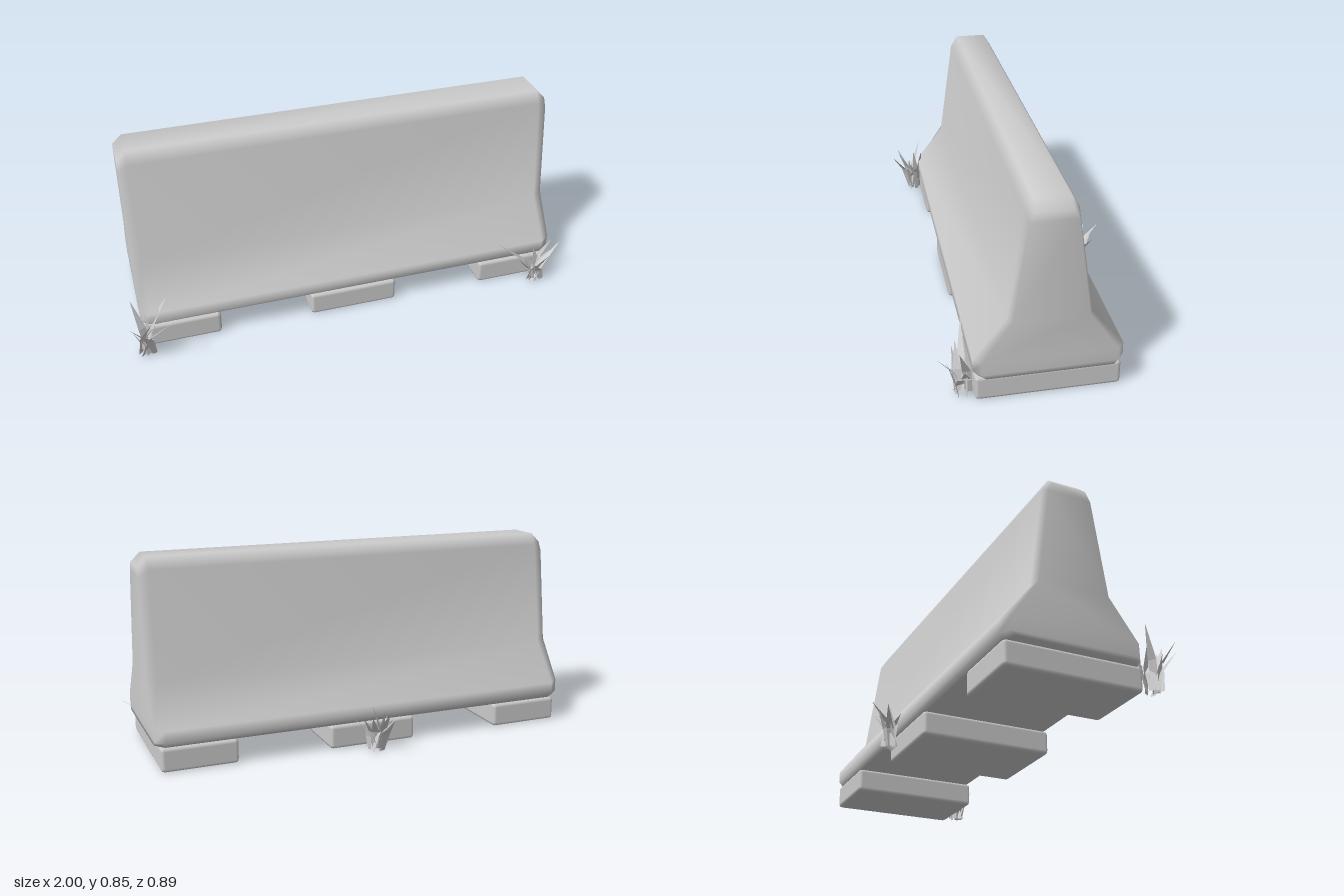
import * as THREE from 'three';
import { RoundedBoxGeometry } from 'three/addons/geometries/RoundedBoxGeometry.js';

// Half profiles as [half depth, height], listed from the bottom up
const FULL = [[0.275, 0.105], [0.297, 0.127], [0.297, 0.18], [0.166, 0.347], [0.1, 0.8], [0.07, 0.85]];
const END = [[0.25, 0.112], [0.268, 0.13], [0.268, 0.185], [0.148, 0.357], [0.093, 0.77], [0.072, 0.81]];

function addQuad(index, a, b, c, d) {
  index.push(a, b, c, a, c, d);
}

// Barrier body: chamfered cross-sections joined along x, smooth shaded
function bodyGeometry() {
  const stations = [[-0.945, END], [-0.905, FULL], [0.905, FULL], [0.945, END]];
  const n = FULL.length, ring = 2 * n;
  const pos = [], index = [];
  for (const [x, half] of stations) {
    for (const [z, y] of half) pos.push(x, y, z);
    for (const [z, y] of [...half].reverse()) pos.push(x, y, -z);
  }
  for (let s = 0; s < stations.length - 1; s++) {
    for (let i = 0; i < ring; i++) {
      const j = (i + 1) % ring, p = s * ring, q = p + ring;
      addQuad(index, p + i, q + i, q + j, p + j);
    }
  }
  // End caps, one strip per profile step
  const last = (stations.length - 1) * ring;
  for (let i = 0; i < n - 1; i++) {
    const l = i, r = ring - 1 - i;
    addQuad(index, last + l, last + r, last + r - 1, last + l + 1);
    addQuad(index, l, l + 1, r - 1, r);
  }
  const g = new THREE.BufferGeometry();
  g.setAttribute('position', new THREE.Float32BufferAttribute(pos, 3));
  g.setIndex(index);
  g.computeVertexNormals();
  return g;
}

// Grass blade: narrow foot, wider middle, pointed tip that leans out
function bladeGeometry(base, tip, width, angle) {
  const side = new THREE.Vector3(Math.cos(angle), 0, Math.sin(angle));
  const mid = base.clone().lerp(tip, 0.3);
  mid.y = tip.y * 0.5;
  const at = (p, w) => p.clone().addScaledVector(side, w);
  const points = [
    at(base, -width * 0.3), at(base, width * 0.3),
    at(mid, width * 0.5), at(mid, -width * 0.5), tip,
  ];
  const g = new THREE.BufferGeometry().setFromPoints(points);
  g.setIndex([0, 1, 2, 0, 2, 3, 3, 2, 4]);
  const flat = g.toNonIndexed();
  flat.computeVertexNormals();
  return flat;
}

// Each tuft: centre of its roots, then blade tips as [x, z, height]
const TUFTS = [
  {
    name: 'frontRightGrass', centre: [-0.94, 0.33],
    tips: [[-1, 0.4, 0.2], [-0.82, 0.44, 0.235], [-0.83, 0.29, 0.25], [-0.98, 0.28, 0.26], [-0.91, 0.4, 0.21],
      [-0.93, 0.32, 0.21], [-0.99, 0.34, 0.14], [-0.88, 0.35, 0.17], [-0.96, 0.43, 0.18], [-0.89, 0.31, 0.13]],
  },
  {
    name: 'frontLeftGrass', centre: [0.86, 0.34],
    tips: [[0.67, 0.31, 0.22], [1, 0.3, 0.16], [0.92, 0.35, 0.22], [0.79, 0.35, 0.2], [0.87, 0.43, 0.17],
      [0.85, 0.32, 0.17], [0.76, 0.36, 0.15], [0.93, 0.33, 0.14], [0.83, 0.39, 0.12], [0.9, 0.39, 0.16]],
  },
  {
    name: 'backGrass', centre: [0.005, -0.35],
    tips: [[-0.08, -0.4, 0.16], [-0.01, -0.45, 0.19], [0.1, -0.305, 0.14], [0.095, -0.4, 0.17], [0.02, -0.33, 0.185],
      [-0.05, -0.33, 0.14], [0.05, -0.4, 0.16], [-0.04, -0.43, 0.15], [0.06, -0.34, 0.12], [-0.02, -0.37, 0.17]],
  },
];

export function createModel() {
  const concrete = new THREE.MeshStandardMaterial({ color: 0xcccccc });
  concrete.name = 'concreteGrey';
  const grass = new THREE.MeshStandardMaterial({ color: 0xcccccc, side: THREE.DoubleSide });
  grass.name = 'grassGrey';

  const model = new THREE.Group();
  model.name = 'roadBarrier';

  const body = new THREE.Mesh(bodyGeometry(), concrete);
  body.name = 'barrierBody';
  body.position.z = 0.003;
  model.add(body);

  // Three feet under the body
  for (const [name, x, width] of [['rightFoot', -0.765, 0.32], ['middleFoot', -0.003, 0.395], ['leftFoot', 0.763, 0.325]]) {
    const foot = new THREE.Mesh(new RoundedBoxGeometry(width, 0.106, 0.58, 1, 0.016), concrete);
    foot.name = name;
    foot.position.set(x, 0.053, 0.004);
    model.add(foot);
  }

  // Grass tufts with roots spread round their centres
  for (const { name, centre, tips } of TUFTS) {
    const tuft = new THREE.Group();
    tuft.name = name;
    tips.forEach(([x, z, h], i) => {
      const a = i * 2.4, r = 0.015 + 0.02 * ((i % 3) / 2);
      const base = new THREE.Vector3(centre[0] + Math.cos(a) * r, 0, centre[1] + Math.sin(a) * r);
      const lean = Math.atan2(z - centre[1], x - centre[0]);
      const blade = new THREE.Mesh(
        bladeGeometry(base, new THREE.Vector3(x, h, z), 0.036, lean + Math.PI / 2 + 0.5 * Math.sin(i * 3)), grass);
      blade.name = 'grassBlade';
      tuft.add(blade);
    });
    model.add(tuft);
  }
  return model;
}
